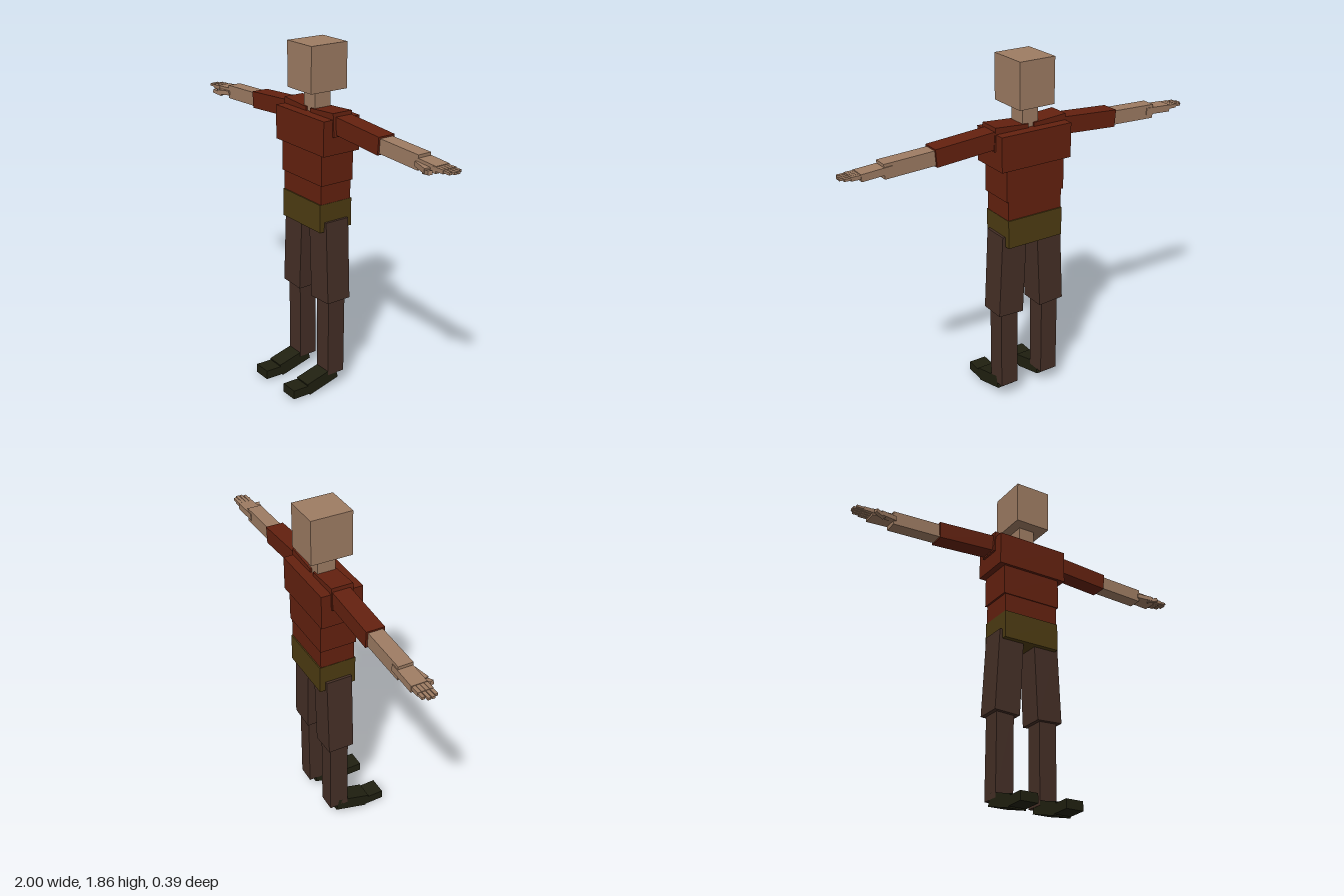
import * as THREE from 'three';

const material = (name, color) => {
  const m = new THREE.MeshStandardMaterial({ color });
  m.name = name;
  return m;
};

export function createModel() {
  const model = new THREE.Group();
  model.name = 'blockFigure';
  const skin = material('skin', 0x9e7c63);
  const red = material('redShirt', 0x64210f);
  const olive = material('oliveBelt', 0x4e3c12);
  const brown = material('brownTrousers', 0x452f26);
  const dark = material('darkShoe', 0x202010);

  function box(name, mat, size, pos, rot = [0, 0, 0], parent = model) {
    const mesh = new THREE.Mesh(new THREE.BoxGeometry(...size), mat);
    mesh.name = name;
    mesh.position.set(...pos);
    mesh.rotation.set(...rot);
    parent.add(mesh);
    return mesh;
  }

  // Head and trunk
  box('head', skin, [0.2, 0.235, 0.22], [0, 1.748, -0.08]);
  box('neck', skin, [0.092, 0.14, 0.095], [0, 1.57, -0.082]);
  box('chest', red, [0.406, 0.18, 0.222], [0, 1.427, -0.081]);
  box('midriff', red, [0.338, 0.18, 0.197], [0, 1.262, -0.083]);
  box('waist', red, [0.318, 0.13, 0.187], [0, 1.122, -0.083]);
  box('hips', olive, [0.322, 0.15, 0.2], [0, 0.995, -0.083]);

  // Limbs, mirrored left (+x) and right (-x)
  for (const s of [1, -1]) {
    const side = new THREE.Group();
    side.name = s > 0 ? 'leftLimbs' : 'rightLimbs';
    model.add(side);
    const part = (name, mat, size, [x, y, z], [rx, ry, rz] = [0, 0, 0]) =>
      box(name, mat, size, [s * x, y, z], [rx, s * ry, s * rz], side);

    // Arm
    part('shoulder', red, [0.19, 0.12, 0.115], [0.115, 1.484, -0.082], [0, 0, 0.07]);
    part('upperArm', red, [0.34, 0.09, 0.096], [0.358, 1.475, -0.088], [0, 0, -0.07]);
    part('forearm', skin, [0.3, 0.074, 0.076], [0.64, 1.458, -0.088], [0, 0, -0.04]);

    // Hand
    part('palm', skin, [0.16, 0.036, 0.08], [0.825, 1.453, -0.09], [0, 0, -0.06]);
    part('thumbBase', skin, [0.09, 0.025, 0.03], [0.825, 1.443, -0.045], [0, -0.25, -0.08]);
    part('thumbTip', skin, [0.06, 0.02, 0.022], [0.873, 1.435, -0.031], [0, -0.3, 0.2]);
    for (let i = 0; i < 4; i++) {
      const z = -0.118 + i * 0.02;
      const tip = [0.985, 1, 1, 0.99][i];
      part('fingerBase', skin, [0.065, 0.02, 0.018], [0.92, 1.453, z]);
      part('fingerTip', skin, [tip - 0.94, 0.012, 0.016], [(tip + 0.94) / 2, 1.454, z]);
    }

    // Leg
    part('thigh', brown, [0.145, 0.447, 0.142], [0.115, 0.746, -0.081], [0, 0, 0.05]);
    part('shin', brown, [0.1, 0.48, 0.105], [0.127, 0.324, -0.083]);
    part('foot', dark, [0.098, 0.069, 0.192], [0.128, 0.063, 0.003], [0.255, 0, 0]);
    part('toe', dark, [0.098, 0.049, 0.12], [0.128, 0.039, 0.134], [-0.03, 0, 0]);
  }
  return model;
}
